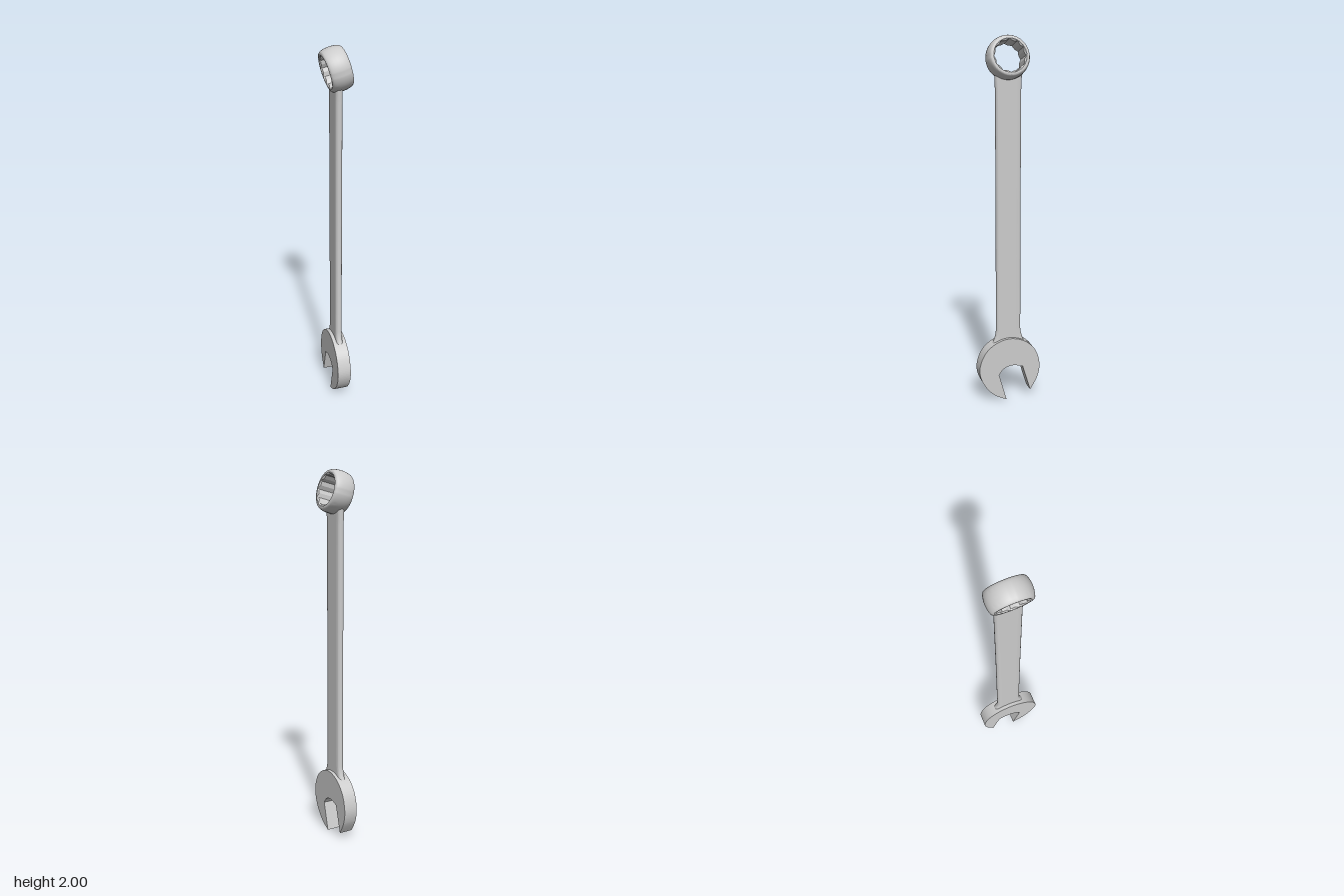
import * as THREE from 'three';
import { toCreasedNormals } from 'three/addons/utils/BufferGeometryUtils.js';

const steel = new THREE.MeshStandardMaterial({ color: 0xcccccc });

function addPart(parent, name, geometry, crease = 0.6) {
  const mesh = new THREE.Mesh(toCreasedNormals(geometry, crease), steel);
  mesh.name = name;
  parent.add(mesh);
  return mesh;
}

// Skin a stack of closed loops that all have the same number of points
function loft(loops) {
  const n = loops[0].length;
  const index = [];
  for (let r = 0; r < loops.length - 1; r++) {
    for (let i = 0; i < n; i++) {
      const a = r * n + i, b = r * n + (i + 1) % n;
      index.push(a, b, a + n, b, b + n, a + n);
    }
  }
  const g = new THREE.BufferGeometry();
  g.setAttribute('position', new THREE.Float32BufferAttribute(loops.flat(2), 3));
  g.setIndex(index);
  g.computeVertexNormals();
  return g;
}

const RING_Y = 1.886;
const TILT = THREE.MathUtils.degToRad(15);

// Flat bar section with rounded narrow sides
function barLoop(halfWidth, heightAt) {
  const thick = 0.018, round = 0.018, loop = [];
  for (const side of [-1, 1]) {
    for (let i = 0; i <= 10; i++) {
      const a = (i / 10) * Math.PI;
      const z = side * (halfWidth - round + round * Math.sin(a));
      loop.push([-side * -thick * Math.cos(a) * -1, heightAt(z), z]);
    }
    // Points across the flat face let the upper end follow the ring
    for (let i = 1; i < 8; i++) {
      const z = side * (halfWidth - round) * (1 - i / 4);
      loop.push([side * thick, heightAt(z), z]);
    }
  }
  return loop;
}

function makeHandle() {
  const rows = [[0.315, 0.105], [0.335, 0.092], [0.355, 0.082], [0.38, 0.074],
    [0.41, 0.07], [1.1, 0.069], [1.72, 0.07], [1.76, 0.072]];
  const loops = rows.map(([y, w]) => barLoop(w, () => y));
  // Upper end curves around the bore inside the ring wall
  loops.push(barLoop(0.074, z => RING_Y - Math.sqrt(0.096 ** 2 - z * z)));
  return loft(loops);
}

function makeOpenEnd() {
  const v = list => list.map(([x, y]) => new THREE.Vector2(x, y));
  const shape = new THREE.Shape();
  // Rounded outer jaw, from the long tip to the short tip
  shape.moveTo(-0.02, 0);
  shape.splineThru(v([[-0.095, 0.04], [-0.153, 0.112], [-0.174, 0.195], [-0.144, 0.285],
    [-0.08, 0.342], [0, 0.363], [0.083, 0.342], [0.146, 0.285], [0.174, 0.2],
    [0.163, 0.12], [0.12, 0.042]]));
  // Slanted slot with a curved throat
  shape.lineTo(0.075, 0.19);
  shape.splineThru(v([[0.02, 0.203], [-0.032, 0.19], [-0.063, 0.153]]));
  shape.lineTo(-0.02, 0);
  const g = new THREE.ExtrudeGeometry(shape, { depth: 0.075, bevelEnabled: false, curveSegments: 60 });
  g.translate(0, 0, -0.0385);
  g.rotateY(Math.PI / 2);
  return g;
}

// Barrel-shaped outer wall with flat rims
function makeRingShell() {
  const half = [[0.087, 0.055], [0.096, 0.055], [0.1, 0.053], [0.104, 0.047],
    [0.108, 0.036], [0.111, 0.02], [0.1125, 0]];
  const lower = half.map(([r, y]) => new THREE.Vector2(r, -y));
  const upper = half.slice(0, -1).reverse().map(([r, y]) => new THREE.Vector2(r, y));
  return new THREE.LatheGeometry([...lower, ...upper], 72);
}

// Twelve-point socket with a small lead-in chamfer at each end
function makeBore() {
  const loop = (outer, inner, y) => Array.from({ length: 24 }, (_, i) => {
    const a = (i / 24) * Math.PI * 2, r = i % 2 ? inner : outer;
    return [r * Math.cos(a), y, r * Math.sin(a)];
  });
  return loft([loop(0.087, 0.087, -0.055), loop(0.084, 0.077, -0.048),
    loop(0.084, 0.077, 0.048), loop(0.087, 0.087, 0.055)]);
}

export function createModel() {
  const wrench = new THREE.Group();
  wrench.name = 'combinationWrench';

  const handle = addPart(wrench, 'handle', makeHandle());
  handle.material = steel.clone();
  handle.material.side = THREE.DoubleSide;
  addPart(wrench, 'openEnd', makeOpenEnd(), 0.4);

  // Ring end leans back from the handle
  const ring = new THREE.Group();
  ring.name = 'ringEnd';
  addPart(ring, 'ringShell', makeRingShell(), 0.7);
  addPart(ring, 'twelvePointBore', makeBore(), 0.1);
  ring.position.set(0, RING_Y, 0.003);
  ring.rotation.z = TILT - Math.PI / 2;
  wrench.add(ring);

  return wrench;
}
